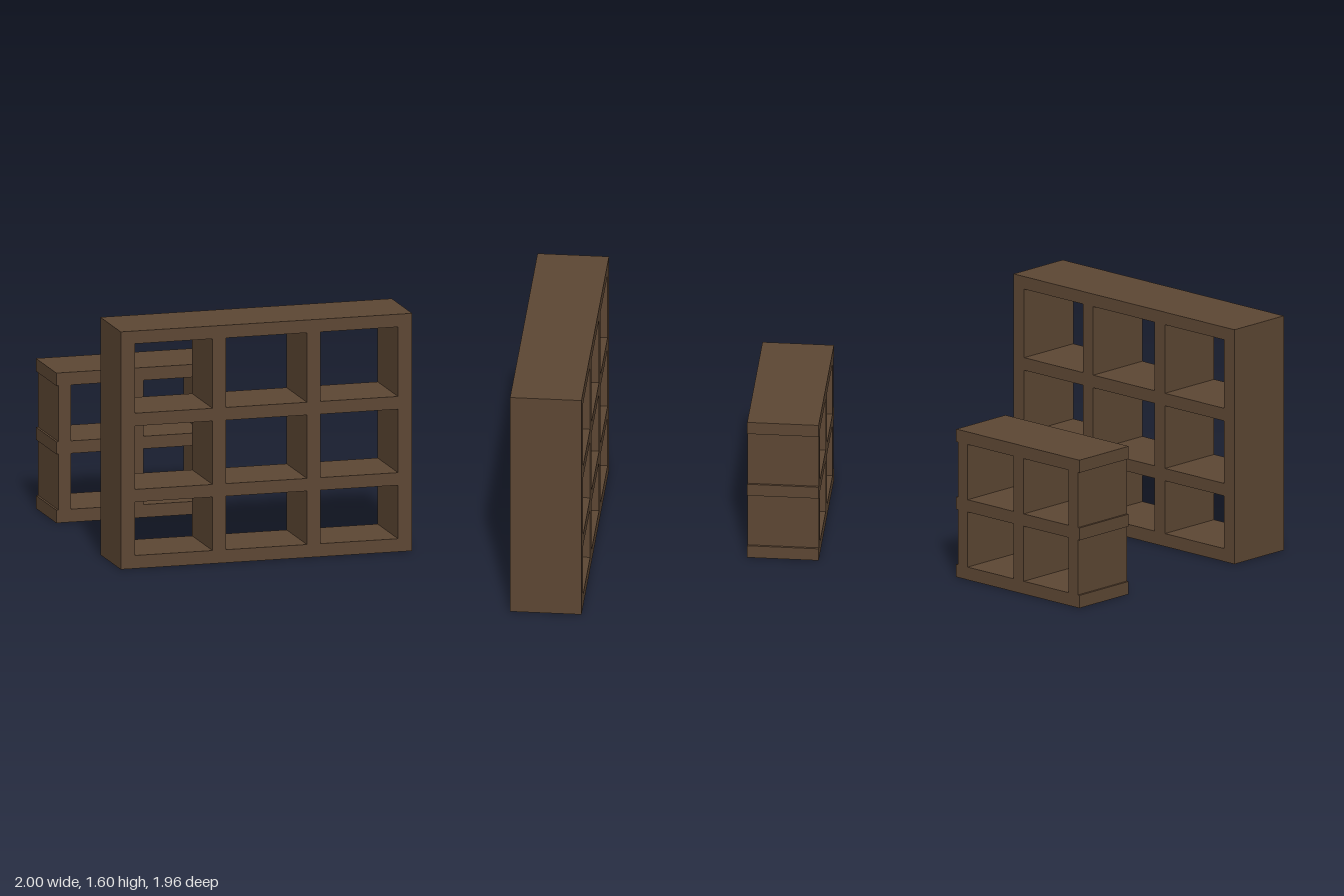
import * as THREE from 'three';

const brown = new THREE.MeshStandardMaterial({ color: 0x5c4633 });
brown.name = 'dark brown wood';

const DEPTH = 0.472;

// Extrudes an outline pierced by a grid of openings.
// cols and rows list the [start, end] of each opening.
function cubbyShelf(name, outline, cols, rows, zBack) {
  const shape = new THREE.Shape(outline.map(([x, y]) => new THREE.Vector2(x, y)));
  for (const [x0, x1] of cols) {
    for (const [y0, y1] of rows) {
      shape.holes.push(new THREE.Path([
        new THREE.Vector2(x0, y0), new THREE.Vector2(x0, y1),
        new THREE.Vector2(x1, y1), new THREE.Vector2(x1, y0),
      ]));
    }
  }
  const geometry = new THREE.ExtrudeGeometry(shape, { depth: DEPTH, bevelEnabled: false });
  const mesh = new THREE.Mesh(geometry, brown);
  mesh.name = name;
  mesh.position.z = zBack;
  return mesh;
}

export function createModel() {
  const model = new THREE.Group();
  model.name = 'cubbyShelves';

  // Large three by three shelf at the front
  model.add(cubbyShelf(
    'largeShelf',
    [[-1, 0], [1, 0], [1, 1.6], [-1, 1.6]],
    [[-0.903, -0.37], [-0.278, 0.278], [0.37, 0.903]],
    [[0.088, 0.448], [0.533, 0.96], [1.046, 1.514]],
    0.507,
  ));

  // Small two by two shelf behind, its boards overhanging the end uprights
  const boards = [[0, 0.087], [0.463, 0.547], [0.924, 1.01]];
  const rightEdge = [];
  const leftEdge = [];
  boards.forEach(([y0, y1], i) => {
    if (i > 0) {
      rightEdge.push([0.1, y0]);
      leftEdge.push([-0.985, y0]);
    }
    rightEdge.push([0.115, y0], [0.115, y1]);
    leftEdge.push([-1, y0], [-1, y1]);
    if (i < boards.length - 1) {
      rightEdge.push([0.1, y1]);
      leftEdge.push([-0.985, y1]);
    }
  });
  model.add(cubbyShelf(
    'smallShelf',
    [...rightEdge, ...leftEdge.reverse()],
    [[-0.9, -0.495], [-0.403, 0.012]],
    [[0.087, 0.463], [0.547, 0.924]],
    -0.979,
  ));

  return model;
}
